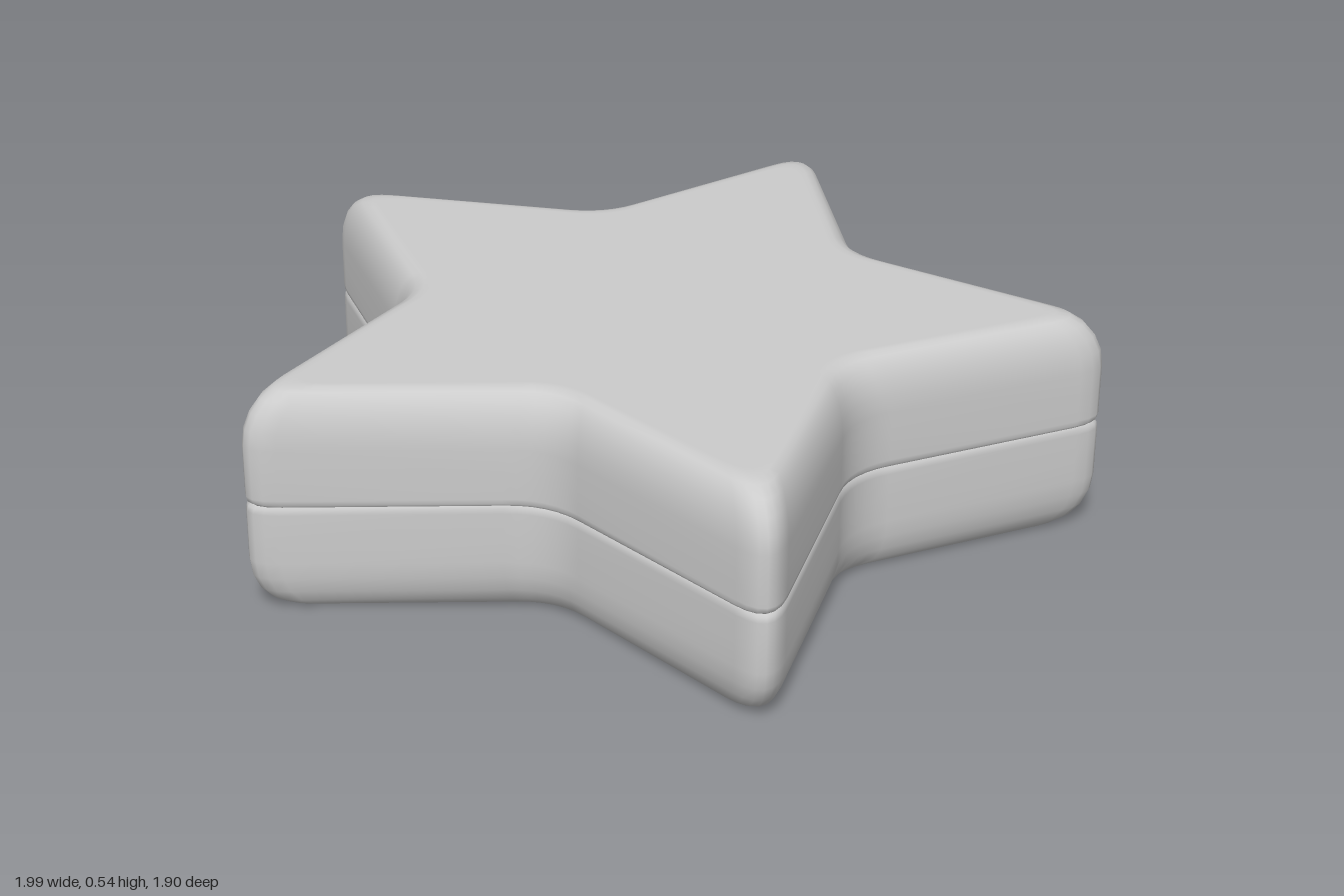
import * as THREE from 'three';

const HALF = 0.27;      // height of each half
const CENTRE_Z = 0.1;   // star centre, so that its bounds are centred

// Five-pointed outline with every tip and notch rounded by a small curve
function starOutline() {
  const corner = (i) => {
    const r = i % 2 ? 0.59 : 1.097;
    const a = (i * Math.PI) / 5;
    return new THREE.Vector2(r * Math.sin(a), -r * Math.cos(a));
  };
  const pts = [];
  for (let i = 0; i < 10; i++) {
    const c = corner(i);
    const cut = i % 2 ? 0.1 : 0.115;
    const toward = (q) => q.sub(c).setLength(cut).add(c);
    const curve = new THREE.QuadraticBezierCurve(toward(corner(i + 9)), c, toward(corner(i + 1)));
    pts.push(...curve.getPoints(6));
  }
  return pts;
}

// Profile from the seam to the outer face: [scale of outline, height above seam]
function sideProfile() {
  const rows = [[0.99, 0], [0.997, 0.006], [1, 0.018], [1, 0.08]];
  for (let i = 0; i <= 5; i++) {
    const a = (i / 5) * (Math.PI / 2);
    rows.push([0.89 + 0.11 * Math.cos(a), 0.14 + 0.13 * Math.sin(a)]);
  }
  rows.push([0.86, HALF]);
  return rows;
}

// One half of the star; dir is 1 for the upper half and -1 for the lower half
function halfStar(dir) {
  const outline = starOutline();
  const rows = sideProfile();
  const n = outline.length;
  const pos = [];
  const idx = [];
  const tri = (a, b, c) => (dir > 0 ? idx.push(a, c, b) : idx.push(a, b, c));
  for (const [s, y] of rows) {
    for (const p of outline) pos.push(p.x * s, HALF + dir * y, p.y * s + CENTRE_Z);
  }
  const middle = rows.length * n;
  pos.push(0, HALF + dir * HALF, CENTRE_Z);
  for (let j = 0; j < n; j++) {
    const k = (j + 1) % n;
    for (let r = 0; r < rows.length - 1; r++) {
      const lo = r * n;
      const hi = lo + n;
      tri(lo + j, lo + k, hi + k);
      tri(lo + j, hi + k, hi + j);
    }
    // Flat face as a fan
    const last = middle - n;
    tri(last + j, last + k, middle);
  }
  const geo = new THREE.BufferGeometry();
  geo.setAttribute('position', new THREE.Float32BufferAttribute(pos, 3));
  geo.setIndex(idx);
  geo.computeVertexNormals();
  return geo;
}

export function createModel() {
  const group = new THREE.Group();
  group.name = 'star';
  const material = new THREE.MeshStandardMaterial({ color: 0xcccccc });
  for (const [name, dir] of [['upperHalf', 1], ['lowerHalf', -1]]) {
    const mesh = new THREE.Mesh(halfStar(dir), material);
    mesh.name = name;
    group.add(mesh);
  }
  return group;
}
